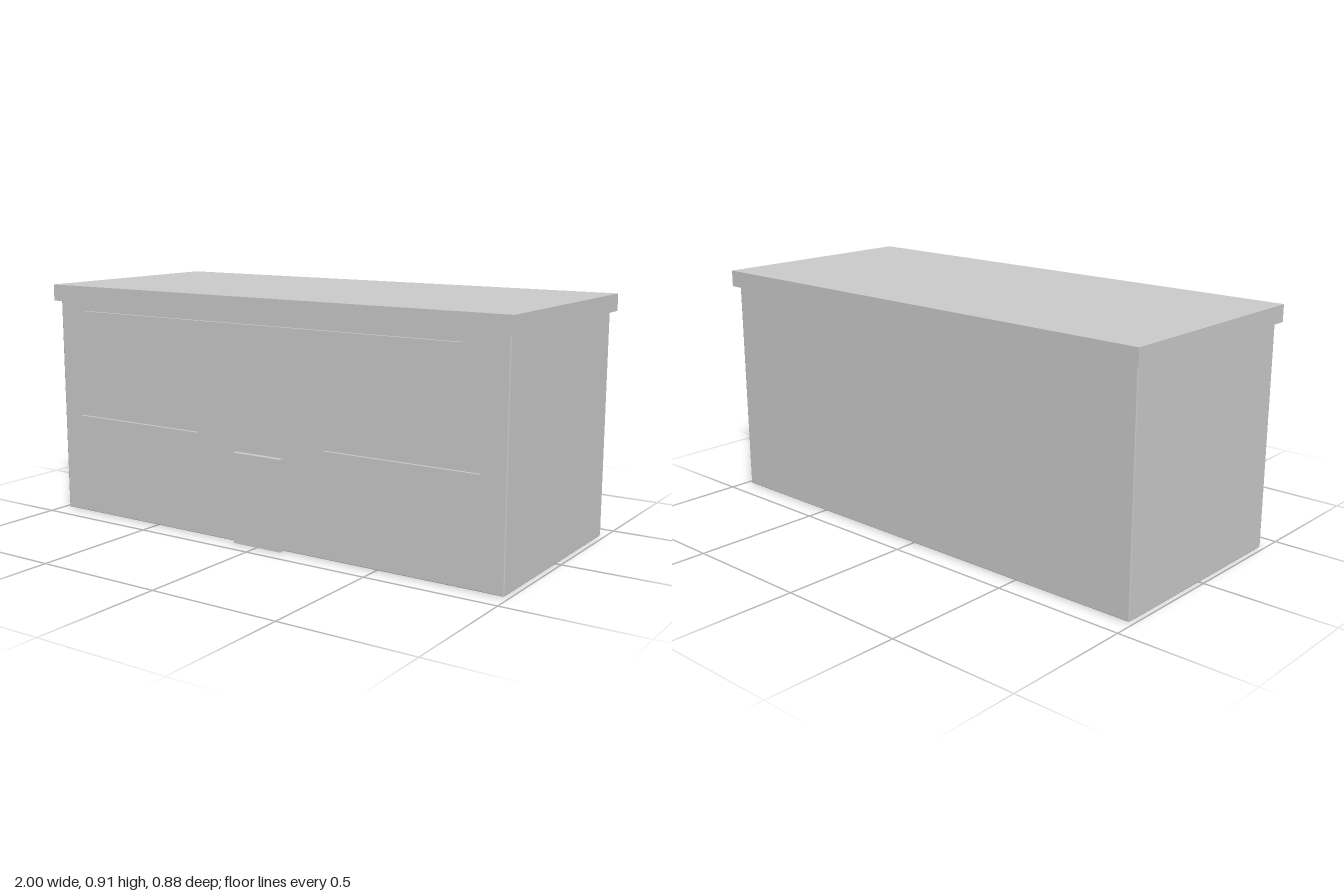
import * as THREE from 'three';
import { RoundedBoxGeometry } from 'three/addons/geometries/RoundedBoxGeometry.js';

export function createModel() {
  const model = new THREE.Group();
  model.name = 'shopBuilding';
  const material = new THREE.MeshStandardMaterial({ color: 0xcccccc });

  // Box given by its minimum and maximum corners, optionally with softened edges
  function addBox(name, min, max, bevel = 0) {
    const [w, h, d] = max.map((v, i) => v - min[i]);
    const geometry = bevel
      ? new RoundedBoxGeometry(w, h, d, 1, bevel)
      : new THREE.BoxGeometry(w, h, d);
    const mesh = new THREE.Mesh(geometry, material);
    mesh.name = name;
    mesh.position.set(...min.map((v, i) => (v + max[i]) / 2));
    model.add(mesh);
  }

  const wallFront = 0.415;
  const inset = wallFront - 0.01; // front panels sink slightly into the wall

  // Main block with a fine edge bevel, and the overhanging roof slab
  addBox('walls', [-0.983, 0, -wallFront], [0.981, 0.855, wallFront], 0.004);
  addBox('roof', [-1, 0.85, -0.438], [1, 0.914, 0.438]);

  // Shopfront: wide sign panel, door and a window on each side
  addBox('signPanel', [-0.845, 0.472, inset], [0.815, 0.815, 0.427]);
  addBox('door', [-0.105, 0, inset], [0.105, 0.343, 0.437]);
  addBox('leftWindow', [0.285, 0.145, inset], [0.89, 0.395, 0.427]);
  addBox('rightWindow', [-0.89, 0.145, inset], [-0.285, 0.395, 0.427]);

  return model;
}
